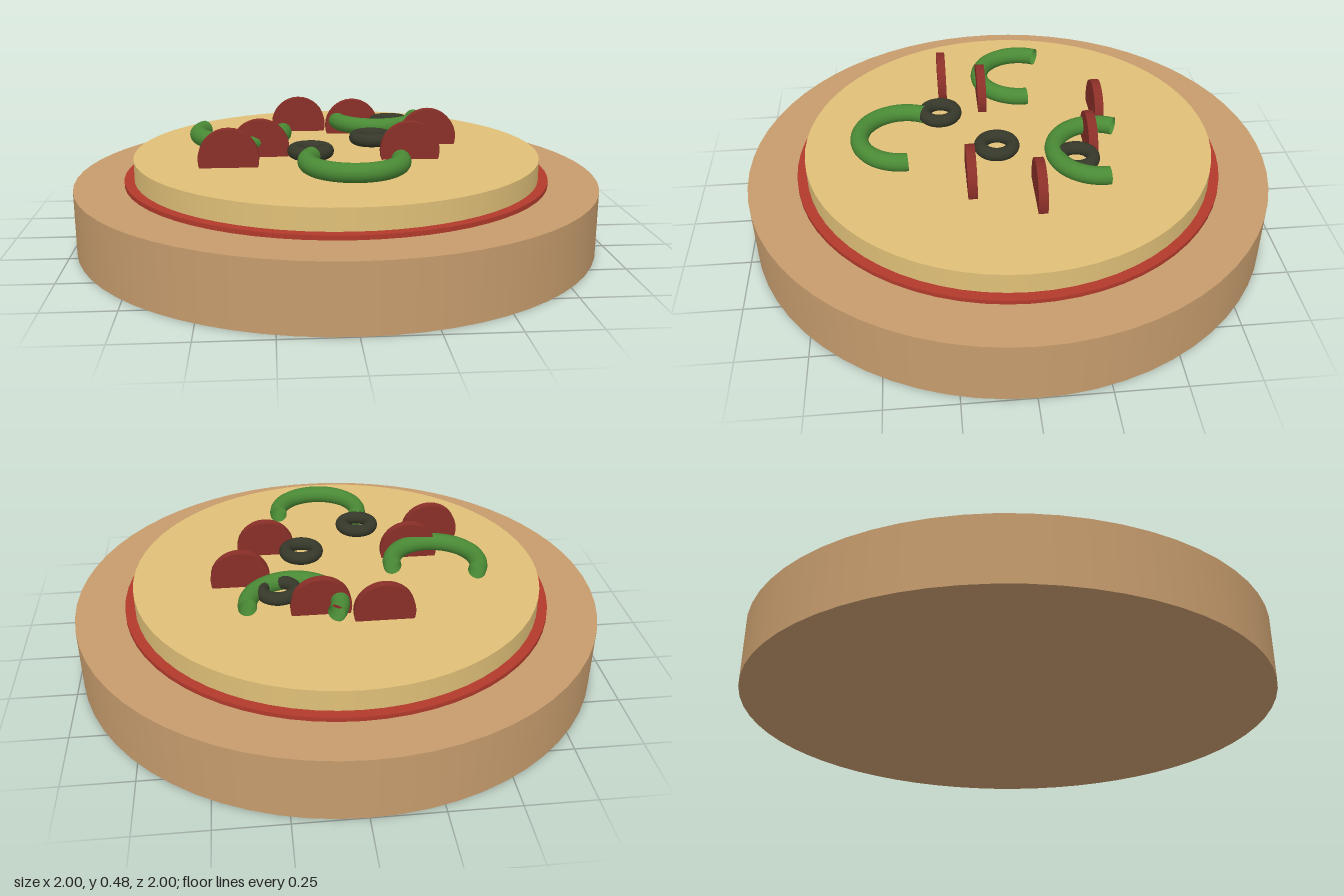
import * as THREE from 'three';

const material = (color, side = THREE.FrontSide) => new THREE.MeshStandardMaterial({ color, side });

export function createModel() {
  const pizza = new THREE.Group();
  pizza.name = 'pizza';

  const add = (name, geometry, mat, x = 0, y = 0, z = 0) => {
    const mesh = new THREE.Mesh(geometry, mat);
    mesh.name = name;
    mesh.position.set(x, y, z);
    pizza.add(mesh);
  };

  // Stacked round layers: name, radius, bottom, top, colour
  const layers = [
    ['doughBase', 1, 0, 0.24, 0xc69c6d],
    ['sauce', 0.813, 0.24, 0.256, 0xb23a2c],
    ['cheese', 0.776, 0.256, 0.335, 0xe0c078],
  ];
  for (const [name, radius, bottom, top, color] of layers) {
    add(name, new THREE.CylinderGeometry(radius, radius, top - bottom, 64), material(color), 0, (bottom + top) / 2, 0);
  }

  // Pepperoni slices standing upright, sunk into the cheese
  const slice = new THREE.CylinderGeometry(0.111, 0.111, 0.034, 32).rotateX(Math.PI / 2);
  const sliceMaterial = material(0x8a2f28);
  const slices = [[-0.135, -0.36], [0.087, -0.3], [0.37, -0.078], [0.265, 0.16], [-0.295, 0.085], [-0.408, 0.24]];
  slices.forEach(([x, z], i) => add(`pepperoni${i + 1}`, slice, sliceMaterial, x, 0.366, z));

  // Olive rings lying flat
  const olive = new THREE.TorusGeometry(0.06, 0.025, 16, 32).rotateX(Math.PI / 2);
  const oliveMaterial = material(0x353829);
  const olives = [[0.235, -0.23], [0.131, 0.055], [-0.111, 0.257]];
  olives.forEach(([x, z], i) => add(`olive${i + 1}`, olive, oliveMaterial, x, 0.394, z));

  // Curved pepper strips: open-ended arcs lying flat
  const pepper = new THREE.TorusGeometry(0.165, 0.034, 16, 40, Math.PI * 1.19)
    .rotateZ(THREE.MathUtils.degToRad(-5))
    .rotateX(Math.PI / 2);
  const pepperMaterial = material(0x4a8a35, THREE.DoubleSide);
  const peppers = [[-0.37, -0.08], [0.185, -0.318], [0.035, 0.4]];
  peppers.forEach(([x, z], i) => add(`pepper${i + 1}`, pepper, pepperMaterial, x, 0.39, z));

  return pizza;
}
